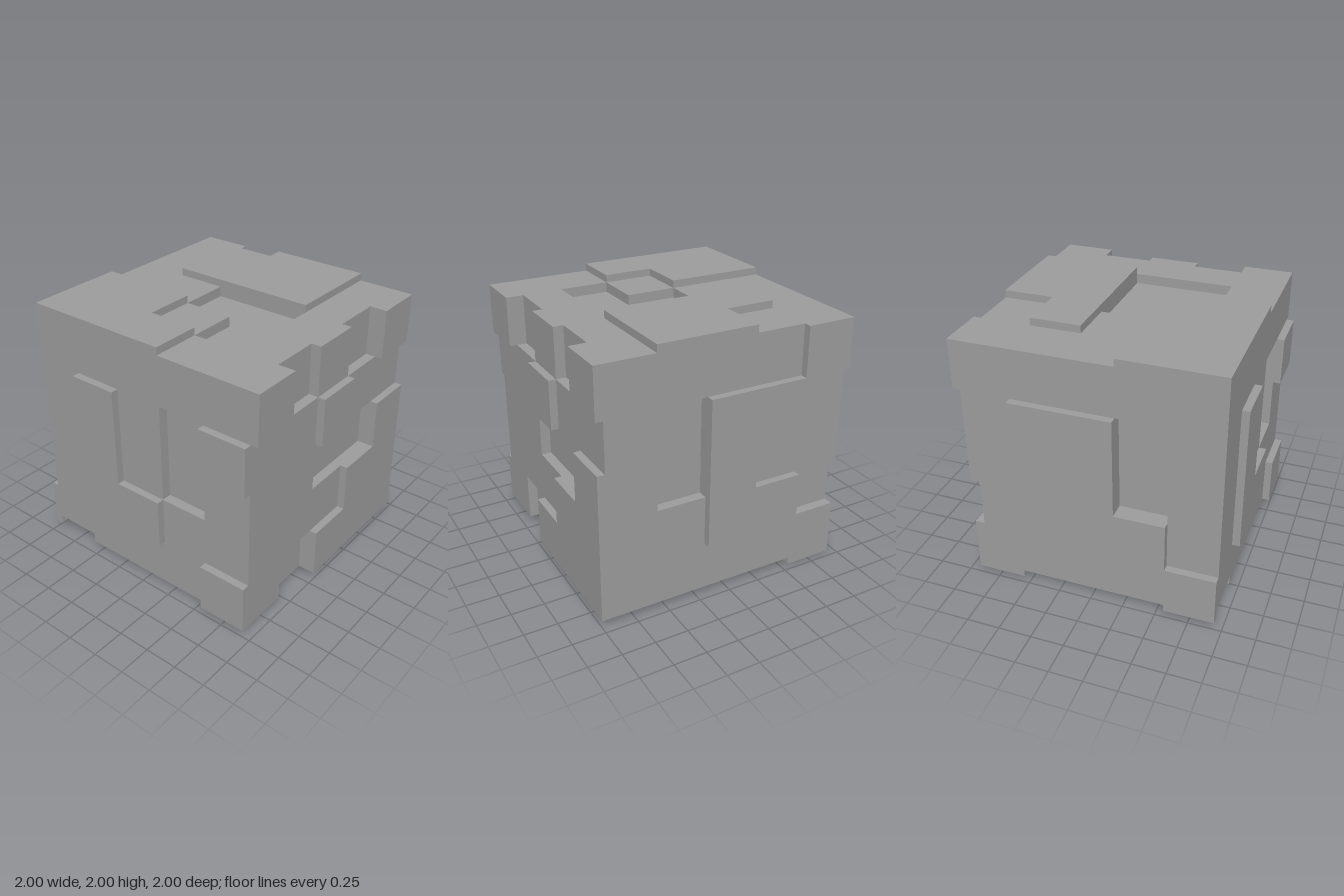
import * as THREE from 'three';

// Layer boundaries along every axis: thin plate layers outside, recess layers just under them.
const B = [-1, -0.943, -0.868, -0.566, -0.19, 0.19, 0.566, 0.868, 0.943, 1];
// Panel cell (0..4) each layer belongs to.
const CELL = [0, 0, 0, 1, 2, 3, 4, 4, 4];

// 5 x 5 relief of each side: + raised plate, - recess, 0 flush.
const SIDES = [
  { name: 'frontPlates', axis: 2, sign: 1, at: (x, y, z) => [4 - y, x],
    map: ['00000', '0+0-+', '0+0-0', '0++00', '0000+'] },
  { name: 'backPlates', axis: 2, sign: -1, at: (x, y, z) => [4 - y, 4 - x],
    map: ['0000+', '0-++0', '0-+00', '00++-', '00000'] },
  { name: 'leftPlates', axis: 0, sign: 1, at: (x, y, z) => [4 - y, 4 - z],
    map: ['+-0-+', '00+00', '00--+', '000++', '0-+++'] },
  { name: 'rightPlates', axis: 0, sign: -1, at: (x, y, z) => [4 - y, z],
    map: ['00000', '0++-0', '0++-0', '000+0', '0000+'] },
  { name: 'topPlates', axis: 1, sign: 1, at: (x, y, z) => [z, x],
    map: ['00++0', '0+++0', '00--0', '++0-0', '+++00'] },
  { name: 'bottomPlates', axis: 1, sign: -1, at: (x, y, z) => [z, x],
    map: ['+0000', '00+0-', '00+00', '0-++0', '-0000'] },
];

function relief(side, p) {
  const [row, col] = side.at(CELL[p[0]], CELL[p[1]], CELL[p[2]]);
  return side.map[row][col];
}

// Name of the part filling a grid block, or null where it is empty.
function partAt(p) {
  if (p.some((i) => i < 0 || i > 8)) return null;
  const outer = p.filter((i) => i === 0 || i === 8).length;
  if (outer > 1) return null;
  if (outer === 1) {
    const side = SIDES.find((s) => p[s.axis] === (s.sign > 0 ? 8 : 0));
    return relief(side, p) === '+' ? side.name : null;
  }
  const cut = SIDES.some((s) => p[s.axis] === (s.sign > 0 ? 7 : 1) && relief(s, p) === '-');
  return cut ? null : 'body';
}

// Adds the square of block p that faces along the given axis.
function addQuad(out, p, axis, sign) {
  const u = (axis + 1) % 3, v = (axis + 2) % 3;
  const corner = (du, dv) => {
    const c = [0, 0, 0];
    c[axis] = B[p[axis] + (sign > 0 ? 1 : 0)];
    c[u] = B[p[u] + du];
    c[v] = B[p[v] + dv];
    c[1] += 1;
    return c;
  };
  const q = [corner(0, 0), corner(1, 0), corner(1, 1), corner(0, 1)];
  if (sign < 0) q.reverse();
  for (const i of [0, 1, 2, 0, 2, 3]) out.push(...q[i]);
}

export function createModel() {
  const group = new THREE.Group();
  group.name = 'reliefCube';
  // Mid-grey stone.
  const material = new THREE.MeshStandardMaterial({ color: 0x9c9c9c, flatShading: true });
  const parts = { body: [] };
  for (const s of SIDES) parts[s.name] = [];

  // Keep only the outer skin of the filled blocks.
  for (let i = 0; i < 9; i++) for (let j = 0; j < 9; j++) for (let k = 0; k < 9; k++) {
    const p = [i, j, k];
    const part = partAt(p);
    if (!part) continue;
    for (const { axis, sign } of SIDES) {
      const next = [...p];
      next[axis] += sign;
      if (!partAt(next)) addQuad(parts[part], p, axis, sign);
    }
  }

  // One mesh for the recessed body and one for the plates of each side.
  for (const [name, points] of Object.entries(parts)) {
    const geometry = new THREE.BufferGeometry();
    geometry.setAttribute('position', new THREE.Float32BufferAttribute(points, 3));
    geometry.computeVertexNormals();
    const mesh = new THREE.Mesh(geometry, material);
    mesh.name = name;
    group.add(mesh);
  }
  return group;
}
